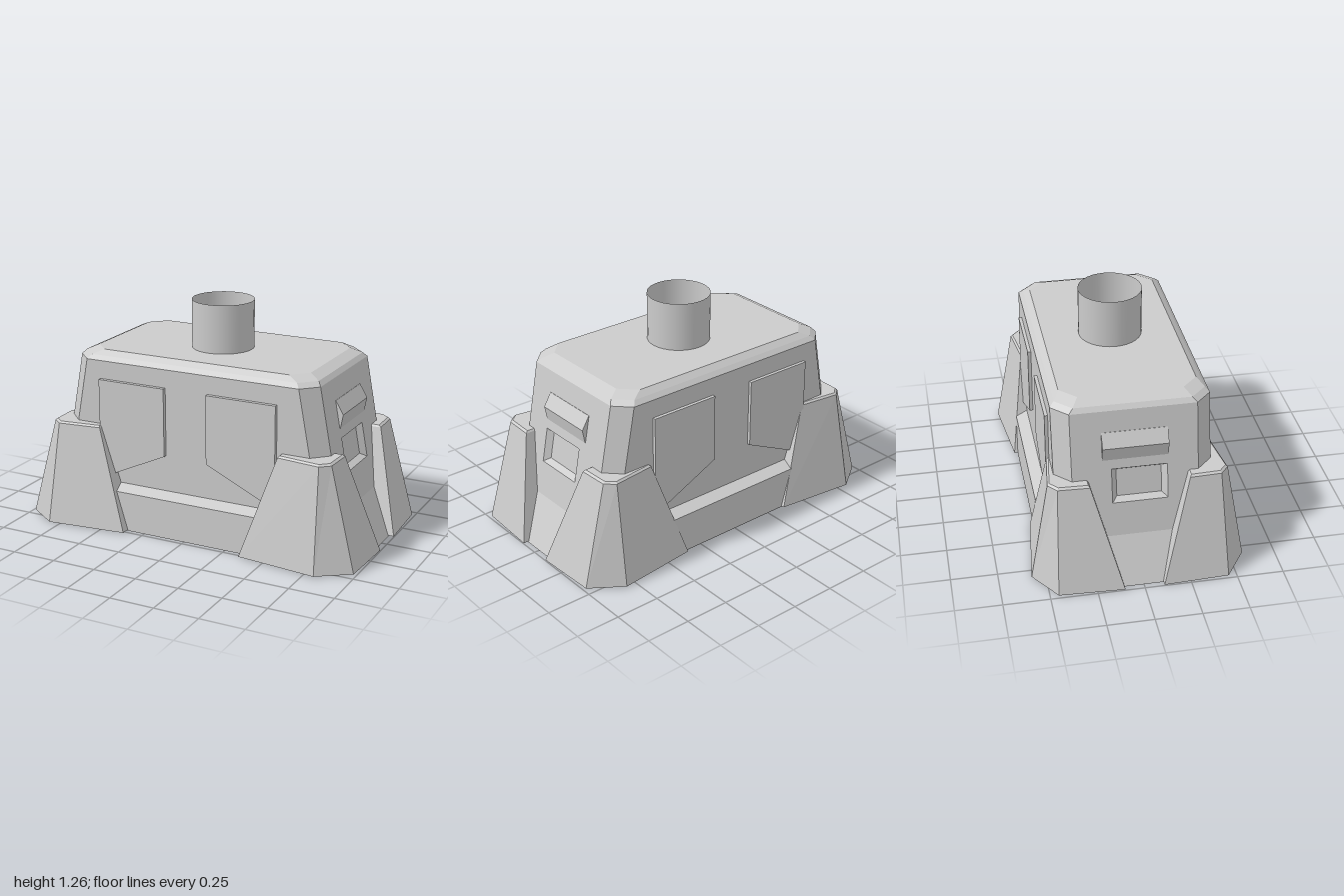
import * as THREE from 'three';

const BODY_Z = -0.015; // the body sits slightly behind the centre
const material = new THREE.MeshStandardMaterial({ color: 0xcccccc, flatShading: true, side: THREE.DoubleSide });

function addMesh(parent, name, geometry) {
  const mesh = new THREE.Mesh(geometry, material);
  mesh.name = name;
  parent.add(mesh);
  return mesh;
}

// Geometry from a list of [a, b, c, d] quads
function quadGeometry(quads) {
  const pos = [];
  for (const [a, b, c, d] of quads) for (const p of [a, b, c, a, c, d]) pos.push(...p);
  const g = new THREE.BufferGeometry();
  g.setAttribute('position', new THREE.Float32BufferAttribute(pos, 3));
  g.computeVertexNormals();
  return g;
}

// Walls between stacked eight-point rings; skip(row, edge) leaves openings
function ringWalls(rings, skip) {
  const quads = [];
  for (let r = 0; r < rings.length - 1; r++) {
    for (let i = 0; i < 8; i++) {
      if (skip(r, i)) continue;
      const j = (i + 1) % 8;
      quads.push([rings[r][i], rings[r][j], rings[r + 1][j], rings[r + 1][i]]);
    }
  }
  return quads;
}

// Flat lid on an eight-point ring
const lidQuads = (ring) => [0, 1, 2].map((i) => [ring[i], ring[i + 1], ring[6 - i], ring[7 - i]]);

// Rectangle with cut corners
function bodyRing([y, hx, hz, c]) {
  const ix = hx - c, iz = hz - c;
  return [[-ix, hz], [ix, hz], [hx, iz], [hx, -iz], [ix, -hz], [-ix, -hz], [-hx, -iz], [-hx, iz]]
    .map(([x, z]) => [x, y, z + BODY_Z]);
}

// Half width of the sloping side wall at height y
const WALL_LOW = 0.25, WALL_HIGH = 0.942;
const sideX = (y) => 0.85 - ((y - WALL_LOW) / (WALL_HIGH - WALL_LOW)) * 0.13;

function rectPoints(u, halfU, y0, y1) {
  return [[u - halfU, y0], [u + halfU, y0], [u + halfU, y1], [u - halfU, y1]];
}

// Side wall with a sunken window
function addSide(parent, s) {
  const place = ([u, y], depth) => [s * (sideX(y) - depth), y, -s * u + BODY_Z];
  const center = -s * 0.022;
  const outer = rectPoints(center, 0.147, 0.435, 0.625);
  const inner = rectPoints(center, 0.119, 0.455, 0.605);
  const toVec = (p) => new THREE.Vector2(...p);

  const shape = new THREE.Shape(rectPoints(0, 0.332, WALL_LOW, WALL_HIGH).map(toVec));
  shape.holes.push(new THREE.Path(outer.map(toVec)));
  const wall = new THREE.ShapeGeometry(shape);
  const pos = wall.attributes.position;
  for (let i = 0; i < pos.count; i++) pos.setXYZ(i, ...place([pos.getX(i), pos.getY(i)], 0));
  wall.computeVertexNormals();
  addMesh(parent, 'sideWall', wall);

  const rim = outer.map((p) => place(p, 0));
  const back = inner.map((p) => place(p, 0.03));
  const quads = rim.map((p, i) => [p, rim[(i + 1) % 4], back[(i + 1) % 4], back[i]]);
  addMesh(parent, 'sideWindow', quadGeometry([...quads, back]));

  // Wedge-shaped hood above the window
  const hood = new THREE.Shape([[0.72, 0.678], [0.772, 0.678], [0.787, 0.755], [0.743, 0.828], [0.72, 0.828]]
    .map(([x, y]) => new THREE.Vector2(s * x, y)));
  const mesh = addMesh(parent, 'sideHood', new THREE.ExtrudeGeometry(hood, { depth: 0.347, bevelEnabled: false }));
  mesh.position.z = -0.187;

  // Sloping skirt between the legs
  const skirt = [[0.11, 0, 0.97], [0.18, WALL_LOW, 0.85]]
    .map(([w, y, x]) => [[s * x, y, s * w], [s * x, y, -s * w]]);
  addMesh(parent, 'sideSkirt', quadGeometry([[...skirt[0], skirt[1][1], skirt[1][0]]]));
}

// Skirt with a ledge, between the legs on the front or back
function skirtGeometry(s) {
  const rows = [[0.36, 0, 0.49], [0.43, 0.22, 0.483], [0.44, WALL_LOW, 0.417]]
    .map(([w, y, z]) => [[-s * w, y, s * z + BODY_Z], [s * w, y, s * z + BODY_Z]]);
  return quadGeometry([0, 1].map((i) => [...rows[i], rows[i + 1][1], rows[i + 1][0]]));
}

// Corner buttress: hollow, open below, with end plates that widen towards the foot
function legGeometry(sx, sz) {
  const foot = [[0.355, 0.525], [0.81, 0.575], [0.985, 0.455], [1, 0.105],
    [0.76, 0.105], [0.76, 0.31], [0.69, 0.385], [0.355, 0.22]];
  const shoulder = [[0.54, 0.445], [0.785, 0.475], [0.838, 0.43], [0.845, 0.262],
    [0.76, 0.262], [0.76, 0.31], [0.69, 0.385], [0.54, 0.385]];
  const lip = [[0.548, 0.435], [0.78, 0.464], [0.826, 0.424], [0.832, 0.27],
    [0.76, 0.27], [0.76, 0.31], [0.69, 0.385], [0.548, 0.385]];
  const flip = sx * sz < 0;
  const rings = [[0.005, foot], [0.568, shoulder], [0.578, lip]].map(([y, ring]) => {
    const pts = ring.map(([x, z]) => [x * sx, y, z * sz]);
    return flip ? pts.reverse() : pts;
  });
  // The three edges towards the body stay open
  const open = flip ? [0, 1, 2] : [4, 5, 6];
  return quadGeometry([...ringWalls(rings, (row, edge) => open.includes(edge)), ...lidQuads(rings[2])]);
}

export function createModel() {
  const model = new THREE.Group();
  model.name = 'bunker';

  // Hollow body: walls and bevelled roof
  const rings = [
    [WALL_LOW, 0.85, 0.417, 0.085],
    [WALL_HIGH, 0.72, 0.417, 0.085],
    [0.966, 0.70, 0.394, 0.085],
    [0.993, 0.64, 0.361, 0.085],
  ].map(bodyRing);
  const walls = ringWalls(rings, (row, edge) => row === 0 && (edge === 2 || edge === 6));
  addMesh(model, 'body', quadGeometry([...walls, ...lidQuads(rings[3])]));

  for (const s of [1, -1]) {
    const side = new THREE.Group();
    side.name = s > 0 ? 'leftSide' : 'rightSide';
    addSide(side, s);
    model.add(side);
    addMesh(model, s > 0 ? 'frontSkirt' : 'backSkirt', skirtGeometry(s));
  }

  // Raised panels, two on the front and two on the back
  for (const s of [1, -1]) {
    const panel = new THREE.Shape([[0.128, 0.84], [0.128, 0.455], [0.533, 0.266], [0.533, 0.84]]
      .map(([x, y]) => new THREE.Vector2(s * x - 0.017, y)));
    for (const z of [0.385, -0.45]) {
      const mesh = addMesh(model, z > 0 ? 'frontPanel' : 'backPanel',
        new THREE.ExtrudeGeometry(panel, { depth: 0.04, bevelEnabled: false }));
      mesh.position.z = z;
    }
  }

  // Four corner buttresses
  for (const sx of [1, -1]) {
    for (const sz of [1, -1]) addMesh(model, 'cornerLeg', legGeometry(sx, sz));
  }

  // Open chimney tube
  const chimney = addMesh(model, 'chimney', new THREE.CylinderGeometry(0.173, 0.173, 0.275, 32, 1, true));
  chimney.material = material.clone();
  chimney.material.flatShading = false;
  chimney.position.set(-0.002, 1.1255, -0.007);

  return model;
}
